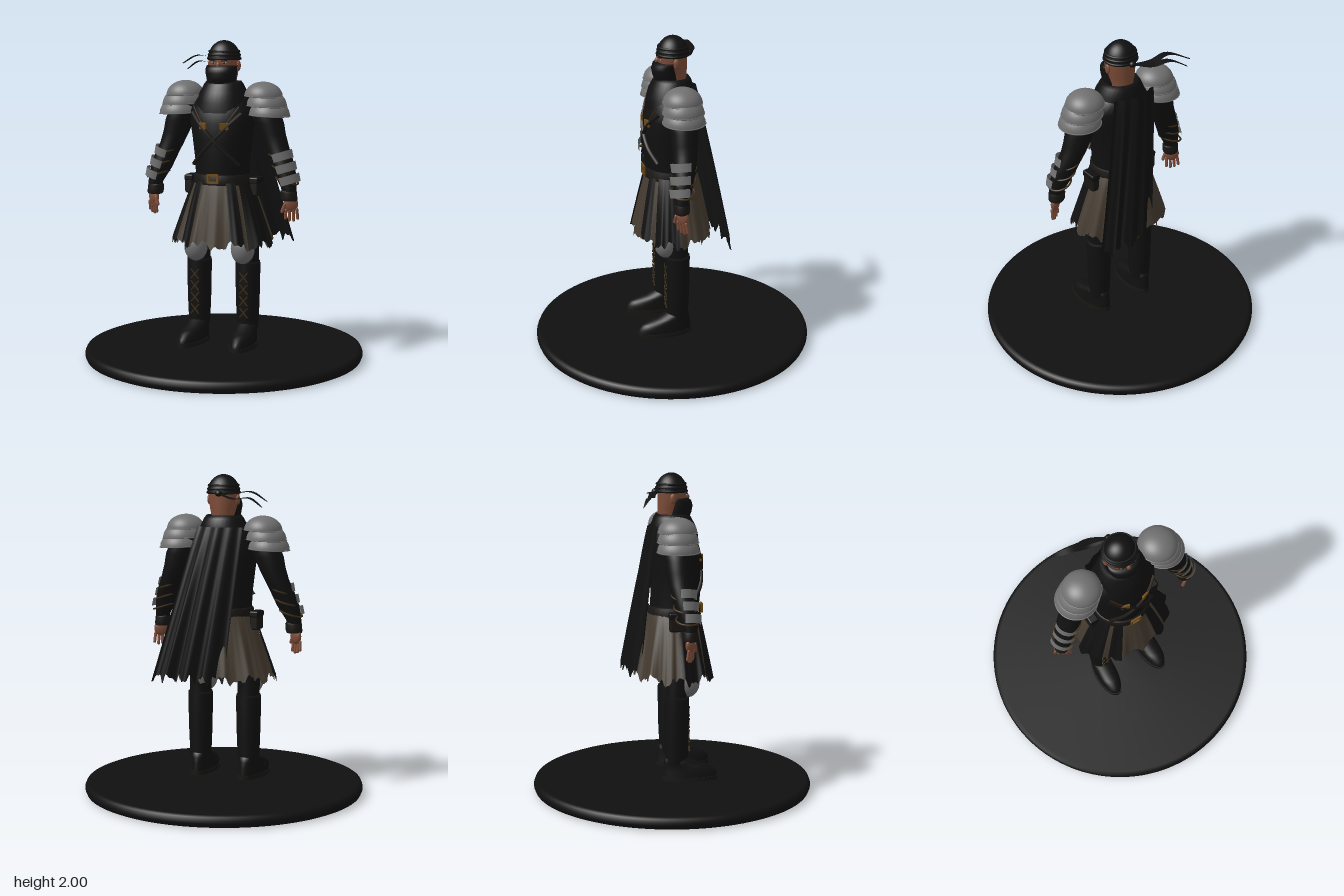
import * as THREE from 'three';
import { mergeVertices } from 'three/addons/utils/BufferGeometryUtils.js';
import { RoundedBoxGeometry } from 'three/addons/geometries/RoundedBoxGeometry.js';

const mat = (name, color, side = THREE.FrontSide) => {
  const m = new THREE.MeshStandardMaterial({ color, side });
  m.name = name;
  return m;
};

export function createModel() {
  const cloth = mat('black cloth', 0x101010, THREE.DoubleSide);
  const leather = mat('dark leather', 0x191613);
  const steel = mat('steel grey', 0x707070, THREE.DoubleSide);
  const taupe = mat('taupe skirt', 0x443b30, THREE.DoubleSide);
  const skin = mat('skin', 0x7d4c38);
  const brass = mat('brass', 0x6b4812);
  const lace = mat('lace brown', 0x3a2a12);
  const eyeWhite = mat('eye white', 0x909090);

  const root = new THREE.Group();
  root.name = 'hoodedWarrior';
  const add = (name, geo, material, pos = [0, 0, 0], rot = [0, 0, 0], parent = root) => {
    const m = new THREE.Mesh(geo, material);
    m.name = name;
    m.position.set(...pos);
    m.rotation.set(...rot);
    parent.add(m);
    return m;
  };
  // Surface from a rule: u runs around or across, v runs upward
  const grid = (nu, nv, fn) => {
    const p = [], idx = [];
    for (let j = 0; j <= nv; j++) for (let i = 0; i <= nu; i++) p.push(...fn(i / nu, j / nv));
    for (let j = 0; j < nv; j++) for (let i = 0; i < nu; i++) {
      const a = j * (nu + 1) + i, c = a + nu + 1;
      idx.push(a, a + 1, c + 1, a, c + 1, c);
    }
    let g = new THREE.BufferGeometry();
    g.setAttribute('position', new THREE.Float32BufferAttribute(p, 3));
    g.setIndex(idx);
    g = mergeVertices(g, 1e-5);
    g.computeVertexNormals();
    return g;
  };
  // Oval rings [x, y, z, rx, rz], listed from bottom to top
  const loft = (rings, seg = 32) => grid(seg, rings.length - 1, (u, v) => {
    const [x, y, z, rx, rz] = rings[Math.round(v * (rings.length - 1))];
    const a = u * Math.PI * 2;
    return [x + rx * Math.sin(a), y, z + rz * Math.cos(a)];
  });
  // Rectangular buckle frame
  const frame = (w, h, t) => {
    const rect = (P, a, b) => new P().moveTo(-a, -b).lineTo(a, -b).lineTo(a, b).lineTo(-a, b).closePath();
    const s = rect(THREE.Shape, w / 2, h / 2);
    s.holes.push(rect(THREE.Path, w / 2 - t, h / 2 - t));
    return new THREE.ExtrudeGeometry(s, { depth: 0.012, bevelEnabled: false });
  };
  const ball = (r = 1) => new THREE.SphereGeometry(r, 24, 16);

  // Display base
  const edge = [[0, 0], [0.85, 0], [0.871, 0.009], [0.88, 0.03], [0.88, 0.046], [0.871, 0.067], [0.85, 0.075], [0, 0.075]];
  add('base', new THREE.LatheGeometry(edge.map(p => new THREE.Vector2(...p)), 96), cloth);

  // Torso, collar and belt
  add('torso', loft([[0, 1.1, 0.01, 0.175, 0.15], [0, 1.25, 0.02, 0.172, 0.155], [0, 1.4, 0.02, 0.192, 0.158],
    [0, 1.5, 0.02, 0.208, 0.158], [0, 1.58, 0.01, 0.208, 0.148], [0, 1.65, 0, 0.165, 0.13], [0, 1.7, 0, 0.1, 0.1]]), cloth);
  add('cowl', loft([[0, 1.56, 0.015, 0.19, 0.15], [0, 1.62, 0.012, 0.168, 0.148], [0, 1.68, 0.005, 0.15, 0.138],
    [0, 1.73, 0, 0.125, 0.115], [0, 1.75, 0, 0.11, 0.1], [0, 1.73, 0, 0.085, 0.08]]), cloth);
  add('belt', loft([[0, 1.115, 0.012, 0.178, 0.158], [0, 1.12, 0.012, 0.186, 0.168], [0, 1.175, 0.012, 0.184, 0.166],
    [0, 1.18, 0.012, 0.172, 0.155]]), leather);
  add('beltBuckle', frame(0.075, 0.06, 0.013), brass, [0, 1.158, 0.178]);
  const onChest = (x, y) => new THREE.Vector3(x, y, 0.022 + 0.158 * Math.sqrt(Math.max(0, 1 - (x / 0.2) ** 2)));
  const strap = (name, x0, y0, x1, y1, material, r) => {
    const pts = [0, 0.25, 0.5, 0.75, 1].map(t => onChest(x0 + (x1 - x0) * t, y0 + (y1 - y0) * t));
    add(name, new THREE.TubeGeometry(new THREE.CatmullRomCurve3(pts), 16, r, 6), material);
  };
  for (const s of [-1, 1]) {
    strap('crossStrap', s * 0.16, 1.56, -s * 0.15, 1.24, leather, 0.013);
    strap('vestSeam', s * 0.15, 1.6, s * 0.03, 1.42, lace, 0.004);
    add('chestBuckle', new RoundedBoxGeometry(0.055, 0.042, 0.016, 2, 0.004), brass, [s * 0.07, 1.48, 0.172], [0, s * 0.35, 0]);
    add('pouch', new RoundedBoxGeometry(0.055, 0.11, 0.1, 3, 0.012), leather, [s * 0.218, 1.1, 0.005]);
    add('pouchFlap', new RoundedBoxGeometry(0.06, 0.04, 0.106, 3, 0.01), cloth, [s * 0.218, 1.142, 0.005]);
  }

  // Pleated skirt with a torn hem, and dark panels laid over it
  const tear = a => 0.02 * Math.sin(9 * a) + 0.014 * Math.sin(23 * a + 1) + 0.01 * Math.sin(41 * a);
  const skirt = (a0, a1, out, n) => grid(n, 12, (u, v) => {
    const a = a0 + (a1 - a0) * u, d = 1 - v, flare = Math.pow(d, 0.9);
    const fold = 1 + 0.045 * d * Math.sin(13 * a + 0.6);
    const rx = (0.178 + 0.135 * flare) * fold + out, rz = (0.158 + 0.08 * flare) * fold + out;
    return [rx * Math.sin(a), 1.14 - d * (0.39 + tear(a)), 0.005 + rz * Math.cos(a)];
  });
  add('skirt', skirt(-Math.PI, Math.PI, 0, 144), taupe);
  for (const s of [-1, 1]) for (const [a, b] of [[0.42, 0.72], [0.84, 1.5]])
    add('skirtPanel', s > 0 ? skirt(a, b, 0.012, 24) : skirt(-b, -a, 0.012, 24), cloth);

  // Cape swept to one side
  add('cape', grid(48, 20, (u, v) => {
    const d = 1 - v, w = Math.pow(d, 0.85), ripple = 0.014 * Math.sin(u * 22) * (0.3 + d);
    const top = -0.13 + 0.02 * Math.cos(u * Math.PI * 2);
    const low = -0.215 - 0.07 * Math.min(1, u * 2.5);
    return [-0.17 + 0.3 * u + d * (0.08 + 0.16 * u), 1.68 - d * (0.93 + 0.022 * Math.sin(u * 40) + 0.014 * Math.sin(u * 71)),
      top + (low - top) * w + ripple];
  }), cloth);

  // Head, bandana and mask
  add('head', loft([[0, 1.66, -0.02, 0.065, 0.065], [0, 1.74, -0.015, 0.07, 0.072], [0, 1.79, -0.005, 0.084, 0.085],
    [0, 1.84, 0, 0.094, 0.09], [0, 1.9, 0, 0.097, 0.092]]), skin);
  const dome = add('bandana', new THREE.SphereGeometry(1, 32, 14, 0, Math.PI * 2, 0, Math.PI / 2), cloth, [0, 1.88, -0.005]);
  dome.scale.set(0.103, 0.12, 0.099);
  for (let i = 0; i < 3; i++) {
    const band = add('bandanaFold', new THREE.TorusGeometry(0.1 - i * 0.004, 0.008, 8, 40), cloth, [0, 1.888 + i * 0.022, -0.005], [Math.PI / 2, 0, 0]);
    band.scale.y = 0.96;
  }
  add('mask', loft([[0, 1.71, 0.03, 0.082, 0.07], [0, 1.76, 0.04, 0.093, 0.08], [0, 1.8, 0.045, 0.099, 0.082],
    [0, 1.83, 0.042, 0.1, 0.076], [0, 1.848, 0.03, 0.098, 0.068], [0, 1.84, 0.03, 0.08, 0.055]]), cloth);
  add('nose', ball(), skin, [0, 1.85, 0.09]).scale.set(0.014, 0.022, 0.018);
  for (const s of [-1, 1]) {
    add('ear', ball(), skin, [s * 0.096, 1.845, -0.005]).scale.set(0.012, 0.032, 0.02);
    add('eye', ball(), eyeWhite, [s * 0.036, 1.864, 0.083]).scale.set(0.014, 0.006, 0.005);
    add('iris', ball(), leather, [s * 0.036, 1.864, 0.0865]).scale.set(0.006, 0.006, 0.003);
    add('eyebrow', new THREE.BoxGeometry(0.04, 0.006, 0.006), leather, [s * 0.038, 1.877, 0.086], [0, s * 0.35, s * 0.15]);
  }
  add('bandanaKnot', ball(), cloth, [-0.01, 1.885, -0.108]).scale.set(0.022, 0.02, 0.02);
  const tails = [[[-0.01, 1.88, -0.11], [-0.12, 1.885, -0.15], [-0.24, 1.9, -0.15], [-0.37, 1.845, -0.205]],
    [[-0.01, 1.885, -0.11], [-0.12, 1.855, -0.14], [-0.24, 1.862, -0.17], [-0.34, 1.81, -0.215]]];
  for (const path of tails) {
    const curve = new THREE.CatmullRomCurve3(path.map(p => new THREE.Vector3(...p)));
    add('bandanaTail', grid(20, 1, (u, v) => {
      const p = curve.getPoint(u), w = 0.045 * Math.sin(Math.PI * (0.15 + 0.83 * u));
      return [p.x, p.y + 0.006 * (v - 0.5), p.z + w * (v - 0.5)];
    }), cloth);
  }

  for (const s of [-1, 1]) {
    // Layered shoulder guard
    const layers = [[0.262, 1.66, 0.118, 0.09, 0.118], [0.283, 1.602, 0.124, 0.1, 0.124], [0.3, 1.545, 0.127, 0.1, 0.128]];
    layers.forEach(([x, y, rx, ry, rz]) => {
      const g = new THREE.SphereGeometry(1, 32, 12, 0, Math.PI * 2, 0, Math.PI / 2);
      add('shoulderGuard', g, steel, [s * x, y, 0], [0, 0, -s * 0.04]).scale.set(rx, ry, rz);
      const rim = add('shoulderRim', new THREE.TorusGeometry(1, 0.035, 6, 40), steel, [s * x, y, 0], [Math.PI / 2, -s * 0.04, 0]);
      rim.scale.set(rx, rz, 0.1);
    });

    // Arm, cuff and forearm plates
    const arm = [[0.452, 1.06, 0.05, 0.043, 0.042], [0.447, 1.11, 0.05, 0.047, 0.046], [0.415, 1.2, 0.035, 0.07, 0.062],
      [0.385, 1.28, 0.02, 0.074, 0.068], [0.35, 1.36, 0.005, 0.076, 0.072], [0.322, 1.43, 0.002, 0.083, 0.078],
      [0.3, 1.5, 0, 0.092, 0.084], [0.27, 1.58, 0, 0.09, 0.088], [0.24, 1.66, 0, 0.06, 0.06]];
    add('arm', loft(arm.map(([x, ...r]) => [s * x, ...r])), cloth);
    add('cuff', loft([[s * 0.452, 1.03, 0.05, 0.046, 0.042], [s * 0.45, 1.04, 0.05, 0.052, 0.046], [s * 0.446, 1.085, 0.05, 0.052, 0.048],
      [s * 0.444, 1.095, 0.05, 0.044, 0.042]]), leather);
    for (let i = 0; i < 3; i++) {
      const start = s > 0 ? -0.3 : -1.9;
      add('forearmPlate', new THREE.CylinderGeometry(0.082, 0.078, 0.052, 16, 1, true, start, 2.2), steel,
        [s * (0.38 + i * 0.027), 1.295 - i * 0.07, 0.02 + i * 0.01], [0, 0, s * 0.3]);
      add('plateStrap', new THREE.TorusGeometry(0.072, 0.006, 6, 28), lace,
        [s * (0.378 + i * 0.027), 1.295 - i * 0.07, 0.02 + i * 0.01], [Math.PI / 2, -s * 0.3, 0]);
    }

    // Hand
    const hand = new THREE.Group();
    hand.name = 'hand';
    hand.position.set(s * 0.46, 1.035, 0.05);
    hand.rotation.set(0, s * 0.55, s * 0.06);
    root.add(hand);
    add('palm', ball(), skin, [0, -0.025, 0], [0, 0, 0], hand).scale.set(0.046, 0.05, 0.024);
    for (let i = 0; i < 4; i++) {
      const x = (i - 1.5) * 0.022, len = [0.05, 0.062, 0.066, 0.056][i];
      add('finger', new THREE.CapsuleGeometry(0.0095, len, 4, 10), skin, [x * 1.1, -0.06 - len / 2, 0.004], [0.12, 0, x * 2.5], hand);
    }
    add('thumb', new THREE.CapsuleGeometry(0.011, 0.045, 4, 10), skin, [-s * 0.05, -0.045, 0.01], [0.1, 0, -s * 0.4], hand);

    // Leg, knee guard, laced boot and foot
    const x = s * 0.165;
    add('thigh', loft([[x, 0.58, 0.005, 0.068, 0.066], [x, 0.72, 0.01, 0.07, 0.07], [s * 0.135, 0.9, 0.01, 0.085, 0.085],
      [s * 0.1, 1.1, 0.01, 0.08, 0.09]]), cloth);
    add('kneeGuard', ball(), steel, [s * 0.158, 0.715, 0.08]).scale.set(0.075, 0.095, 0.072);
    add('boot', loft([[x, 0.2, 0.005, 0.062, 0.068], [x, 0.24, 0.008, 0.068, 0.07], [x, 0.35, 0.007, 0.073, 0.075],
      [x, 0.5, 0.007, 0.077, 0.078], [x, 0.615, 0.007, 0.078, 0.079], [x, 0.63, 0.007, 0.076, 0.077], [x, 0.625, 0.007, 0.02, 0.02]]), cloth);
    for (let i = 0; i < 4; i++) for (const t of [-1, 1])
      add('bootLace', new THREE.BoxGeometry(0.007, 0.082, 0.006), lace, [x, 0.31 + i * 0.075, 0.084], [0, 0, t * 0.72]);
    const foot = new THREE.Group();
    foot.name = 'foot';
    foot.position.set(x, 0, 0);
    foot.rotation.y = s * 0.06;
    root.add(foot);
    add('shoe', loft([[0, 0.115, 0.09, 0.072, 0.172], [0, 0.145, 0.09, 0.07, 0.17], [0, 0.17, 0.08, 0.066, 0.157],
      [0, 0.19, 0.06, 0.064, 0.135], [0, 0.205, 0.035, 0.062, 0.105], [0, 0.235, 0.01, 0.06, 0.075], [0, 0.25, 0.01, 0.03, 0.04]]), cloth, [0, 0, 0], [0, 0, 0], foot);
    const sole = add('sole', new THREE.CylinderGeometry(1, 1, 0.026, 40), leather, [0, 0.108, 0.091], [0, 0, 0], foot);
    sole.scale.set(0.077, 1, 0.175);
  }
  return root;
}
